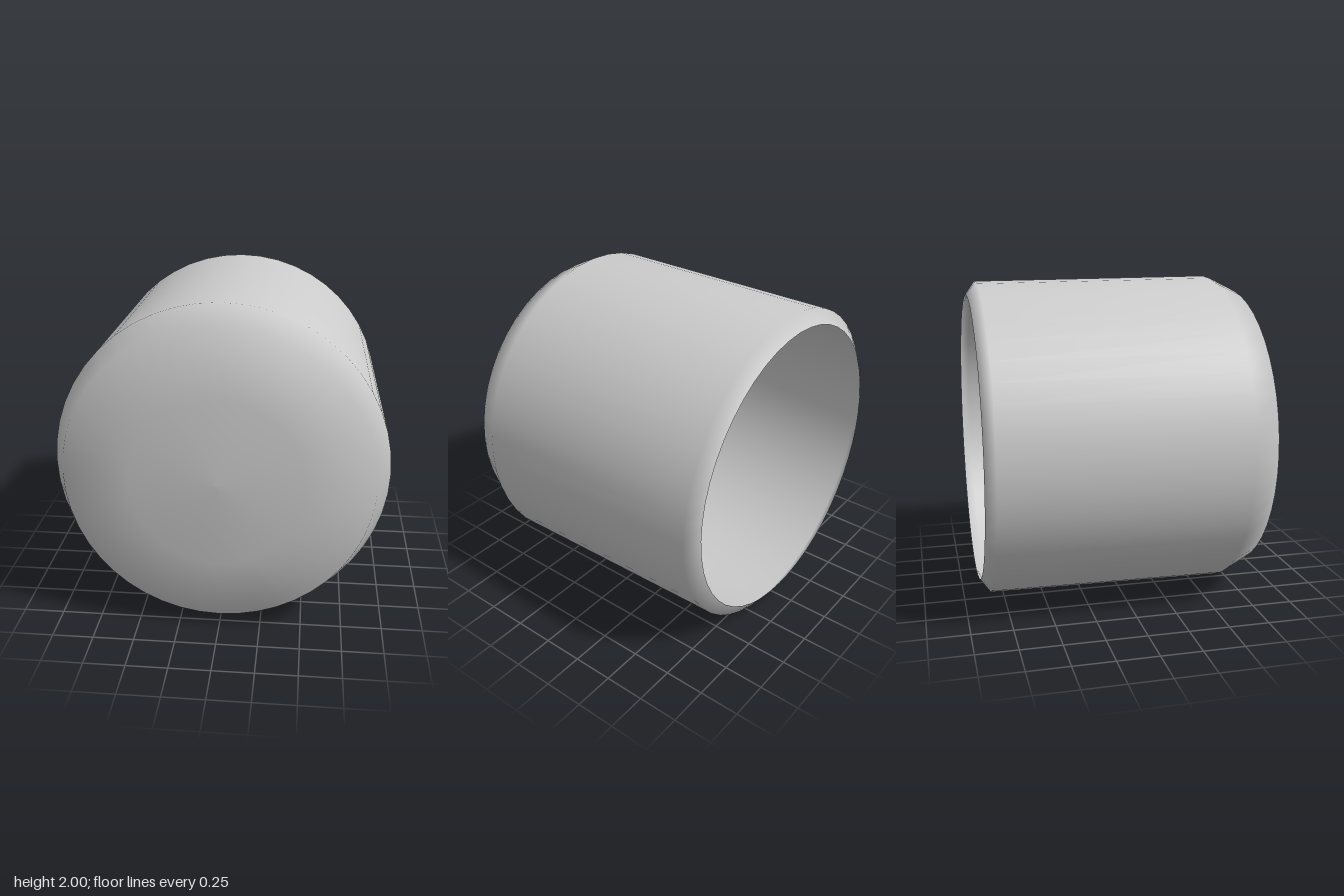
import * as THREE from 'three';

export function createModel() {
  const group = new THREE.Group();
  group.name = 'roundCap';

  const grey = new THREE.MeshStandardMaterial({ color: 0xcccccc, side: THREE.DoubleSide });
  grey.name = 'plain grey';

  // Profile from the open back rim to the domed front: [radius, z]
  const profile = [
    [0.9, -0.905], [0.985, -0.845],             // bevelled rim
    [1, 0.63], [0.915, 0.805],                  // wall and front bevel
    [0.51, 0.885], [0, 0.905],                  // shallow dome
  ].map(([r, z]) => new THREE.Vector2(r, z));

  // Thin hollow shell, turned so its axis runs along z
  const shell = new THREE.Mesh(new THREE.LatheGeometry(profile, 48).rotateX(Math.PI / 2), grey);
  shell.name = 'capShell';
  shell.position.y = 1;
  group.add(shell);

  return group;
}
